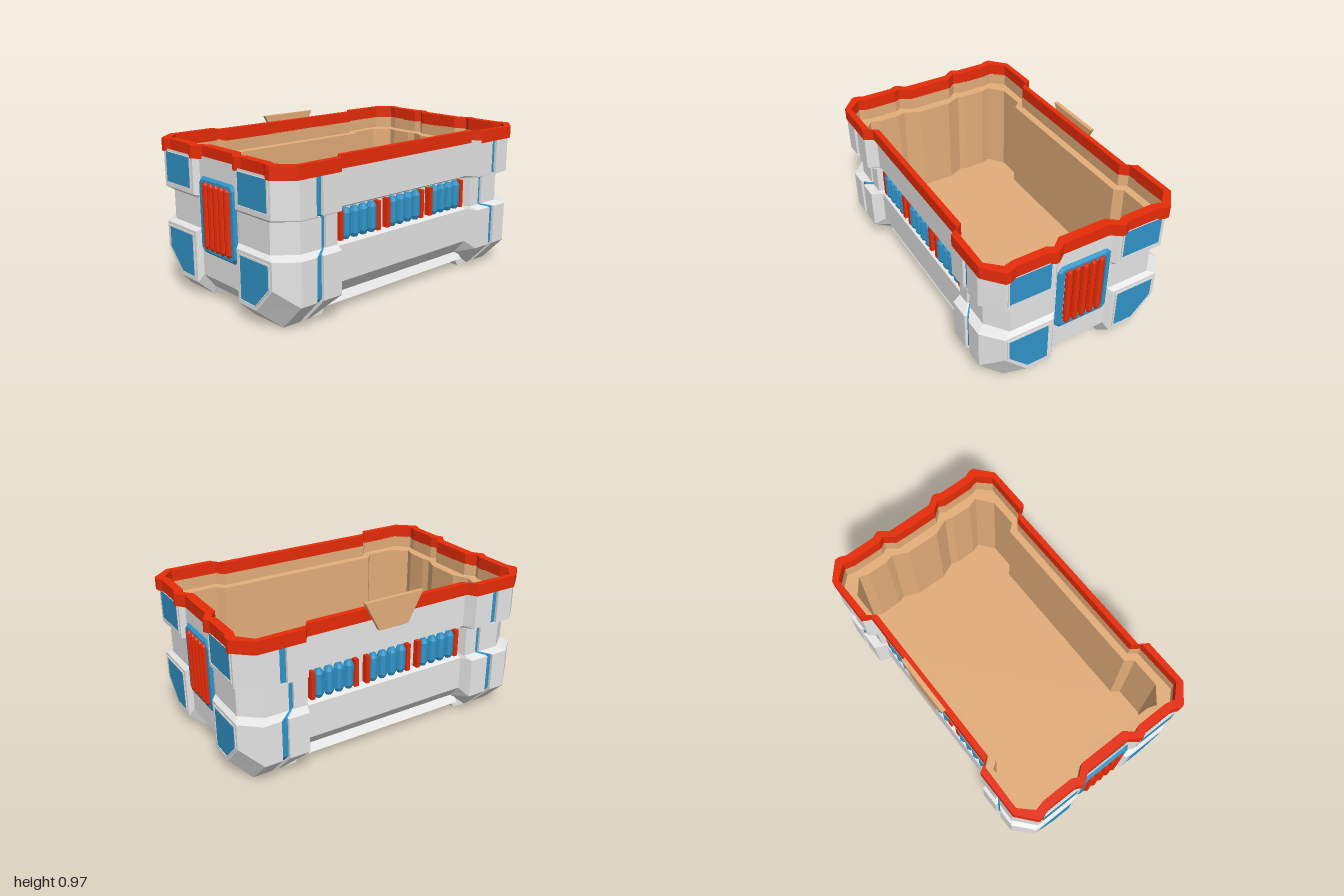
import * as THREE from 'three';
import { ConvexGeometry } from 'three/addons/geometries/ConvexGeometry.js';

const mat = (name, color) => {
  const m = new THREE.MeshStandardMaterial({ color, flatShading: true });
  m.name = name;
  return m;
};

// Mirror one quarter outline of [x, y, z] points into a full ring: front, right, back, left
function fullRing(q) {
  const r = [...q].reverse();
  return [
    ...q,
    ...r.map(([x, y, z]) => [x, y, -z]),
    ...q.map(([x, y, z]) => [-x, y, -z]),
    ...r.map(([x, y, z]) => [-x, y, z]),
  ];
}
const atHeight = (y, outline) => outline.map(([x, z]) => [x, y, z]);

// Skin a stack of rings (bottom-to-top faces outward); keep picks the columns to build
function loft(quarters, keep = () => true) {
  const rings = quarters.map(fullRing), n = quarters[0].length, pos = [];
  for (let k = 0; k < rings.length - 1; k++) {
    const a = rings[k], b = rings[k + 1];
    for (let i = 0; i < a.length; i++) {
      if (!keep(i)) continue;
      const j = (i + 1) % a.length;
      // mirrored quarters use the mirrored diagonal
      if (Math.floor(i / n) % 2) pos.push(...a[i], ...a[j], ...b[i], ...a[j], ...b[j], ...b[i]);
      else pos.push(...a[i], ...a[j], ...b[j], ...a[i], ...b[j], ...b[i]);
    }
  }
  const g = new THREE.BufferGeometry();
  g.setAttribute('position', new THREE.Float32BufferAttribute(pos, 3));
  g.computeVertexNormals();
  return g;
}

// Cut a groove around x into the front edge of a ring, between its second and third points
function grooved(ring, x, w, dy, dz) {
  const [, y, z] = ring[1], l = x - w / 2, r = x + w / 2;
  return [...ring.slice(0, 2), [l, y, z], [l, y + dy, z - dz], [r, y + dy, z - dz], [r, y, z], ...ring.slice(2)];
}

const shapeOf = (pts) => new THREE.Shape(pts.map(([x, y]) => new THREE.Vector2(x, y)));
const planShape = (outline) => shapeOf(fullRing(atHeight(0, outline)).map(([x, , z]) => [x, -z]));

// Upright bar with tapered ends
const bar = (r, h) => new THREE.LatheGeometry(
  [[0, -h], [r * 0.6, -h], [r, -h + r * 0.8], [r, h - r * 0.8], [r * 0.6, h], [0, h]]
    .map(([x, y]) => new THREE.Vector2(x, y)), 8);

const octagon = (w, y0, y1, c) => [
  [-w + c, y0], [w - c, y0], [w, y0 + c], [w, y1 - c],
  [w - c, y1], [-w + c, y1], [-w, y1 - c], [-w, y0 + c],
];

export function createModel() {
  const grey = mat('light grey shell', 0xe5e5e5);
  const red = mat('red trim', 0xe92c08);
  const blue = mat('blue accent', 0x3094c8);
  const tan = mat('tan liner', 0xe3ad79);
  const model = new THREE.Group();
  const add = (parent, name, geo, material, x = 0, y = 0, z = 0) => {
    const m = new THREE.Mesh(geo, material);
    m.name = name;
    m.position.set(x, y, z);
    parent.add(m);
    return m;
  };

  // Body sits a hair off centre under the rim
  const body = new THREE.Group();
  body.name = 'body';
  body.position.x = -0.006;
  model.add(body);

  // Shell: bulging corner blocks with a recessed waist, and grooves with a blue floor
  const block = [[0.555, 0.55], [0.587, 0.622], [0.873, 0.622], [0.986, 0.522], [0.986, 0.208], [0.955, 0.182]];
  const waist = [[0.55, 0.505], [0.57, 0.57], [0.832, 0.57], [0.957, 0.473], [0.957, 0.2], [0.955, 0.182]];
  const footRing = [[0.57, 0.1, 0.46], [0.69, 0, 0.467], [0.878, 0, 0.467], [0.878, 0, 0.467], [0.878, 0, 0.208], [0.88, 0.055, 0.19]];
  const slopeRing = [[0.555, 0.2, 0.55], [0.587, 0.16, 0.622], [0.873, 0.16, 0.622], [0.986, 0.1, 0.375], [0.986, 0.1, 0.208], [0.955, 0.15, 0.182]];
  const grooveX = 0.739, grooveW = 0.045;
  const blockRing = (y) => grooved(atHeight(y, block), grooveX, grooveW, 0, 0.018);
  const waistRing = (y) => grooved(atHeight(y, waist), 0.671, 0.032, 0, 0.015);
  const rings = [
    grooved(footRing, grooveX, grooveW, 0.014, 0.012),
    grooved(slopeRing, grooveX, grooveW, 0.008, 0.018),
    blockRing(0.255), blockRing(0.415), waistRing(0.435),
    waistRing(0.615), blockRing(0.637), blockRing(0.87),
  ];
  const isGrooveFloor = (i) => i % 20 === 3 || i % 20 === 15;
  add(body, 'shell', loft(rings, (i) => !isGrooveFloor(i)), grey);
  add(body, 'cornerStripes', loft(rings, isGrooveFloor), blue);

  // Base plate with a lip that flares out below the long sides
  const lip = new THREE.ExtrudeGeometry(
    shapeOf([[-0.46, 0.1], [-0.495, 0.055], [0.495, 0.055], [0.46, 0.1]]),
    { depth: 1.2, bevelEnabled: false });
  lip.rotateY(Math.PI / 2).translate(-0.6, 0, 0);
  add(body, 'basePlate', lip, grey);
  add(body, 'baseCore', new THREE.BoxGeometry(1.75, 0.05, 0.9), grey, 0, 0.078, 0);

  // Feet, each in two halves beside a blue groove
  for (const sx of [1, -1]) for (const sz of [1, -1]) {
    for (const [x0, x1, top] of [[0.6, 0.7165, 0.56], [0.7615, 0.878, 0.7615]]) {
      const pts = [
        [x0, 0, 0.466], [x1, 0, 0.466], [x1, 0, 0.208], [x0, 0, 0.208],
        [top, 0.07, 0.466], [x1, 0.07, 0.466], [x1, 0.07, 0.185], [top, 0.07, 0.185],
      ].map(([x, y, z]) => new THREE.Vector3(sx * x, y, sz * z));
      add(body, 'foot', new ConvexGeometry(pts), grey);
    }
    add(body, 'footStripe', new THREE.BoxGeometry(grooveW, 0.009, 0.25), blue, sx * grooveX, 0.019, sz * 0.332);
    add(body, 'footGrooveBed', new THREE.BoxGeometry(grooveW, 0.04, 0.25), grey, sx * grooveX, 0.0435, sz * 0.332);
  }

  // Red rim
  const rimOuter = [[0.56, 0.57], [0.595, 0.625], [0.89, 0.625], [1, 0.53], [1, 0.5], [0.982, 0.46],
    [0.982, 0.26], [1, 0.225], [1, 0.208], [0.957, 0.15]];
  const rimInner = [[0.54, 0.535], [0.575, 0.585], [0.87, 0.59], [0.945, 0.51], [0.93, 0.45],
    [0.93, 0.25], [0.95, 0.21], [0.9, 0.15]];
  const rimShape = planShape(rimOuter);
  rimShape.holes.push(planShape(rimInner));
  const rim = new THREE.ExtrudeGeometry(rimShape, { depth: 0.077, bevelEnabled: false });
  add(model, 'rim', rim.rotateX(-Math.PI / 2), red, 0, 0.852, 0);

  // Tan liner with a flat ledge below the rim, and its floor
  const well = [[0.56, 0.49], [0.6, 0.54], [0.79, 0.54], [0.89, 0.46], [0.87, 0.4],
    [0.87, 0.26], [0.885, 0.21], [0.84, 0.11]];
  add(model, 'liner', loft([
    atHeight(0.857, rimInner), atHeight(0.777, rimInner), atHeight(0.775, well), atHeight(0.15, well),
  ]), tan);
  add(model, 'linerFloor', new THREE.ShapeGeometry(planShape(well)).rotateX(-Math.PI / 2), tan, 0, 0.15, 0);

  // Tab hanging over the back of the rim
  const tab = new THREE.ExtrudeGeometry(
    shapeOf([[-0.2, 0.97], [-0.1, 0.785], [0.1, 0.785], [0.2, 0.97]]),
    { depth: 0.026, bevelEnabled: false });
  add(model, 'backTab', tab, tan, 0, 0, -0.593);

  // Front and back: three grilles in the waist
  for (const turn of [0, Math.PI]) {
    const face = new THREE.Group();
    face.name = turn ? 'backGrilles' : 'frontGrilles';
    face.rotation.y = turn;
    body.add(face);
    for (const cx of [-0.37, 0, 0.37]) {
      for (const s of [-1, 1])
        add(face, 'grilleEnd', new THREE.BoxGeometry(0.026, 0.176, 0.045), red, cx + s * 0.146, 0.525, 0.522);
      for (let i = 0; i < 4; i++)
        add(face, 'grilleBar', bar(0.031, 0.089), blue, cx + (i - 1.5) * 0.067, 0.525, 0.523);
    }
  }

  // Ends: framed vent with bars, and four framed windows
  for (const turn of [0, Math.PI]) {
    const end = new THREE.Group();
    end.name = turn ? 'rightEnd' : 'leftEnd';
    end.rotation.y = turn;
    body.add(end);
    const plate = (name, shape, material, x, depth, bevel = 0) => add(end, name,
      new THREE.ExtrudeGeometry(shape, {
        depth, bevelEnabled: bevel > 0, bevelSize: bevel, bevelThickness: bevel, bevelOffset: -bevel, bevelSegments: 1,
      }).rotateY(Math.PI / 2), material, x);

    // flat vent frame on a bevelled skirt
    const frame = shapeOf(octagon(0.162, 0.314, 0.739, 0.025));
    frame.holes.push(shapeOf(octagon(0.139, 0.33, 0.728, 0.015)));
    plate('ventFrame', frame, blue, 0.945, 0.029);
    const skirt = shapeOf(octagon(0.178, 0.298, 0.755, 0.03));
    skirt.holes.push(shapeOf(octagon(0.14, 0.331, 0.727, 0.015)));
    plate('ventSkirt', skirt, blue, 0.948, 0.01, 0.015);
    for (let i = -2; i <= 2; i++)
      add(end, 'ventBar', bar(0.022, 0.2), red, 0.968, 0.53, i * 0.053);

    for (const s of [-1, 1]) {
      const upper = [[0.228, 0.66], [0.507, 0.66], [0.507, 0.856], [0.228, 0.856]];
      const lower = [[0.228, 0.12], [0.367, 0.12], [0.505, 0.252], [0.505, 0.397], [0.228, 0.397]];
      const panes = [
        [upper, [[0.238, 0.67], [0.497, 0.67], [0.497, 0.853], [0.238, 0.853]]],
        [lower, [[0.238, 0.13], [0.371, 0.13], [0.495, 0.257], [0.495, 0.387], [0.238, 0.387]]],
      ];
      const flip = (p) => shapeOf(p.map(([u, y]) => [s * u, y]));
      for (const [outer, inner] of panes) {
        const border = flip(outer);
        border.holes.push(flip(inner));
        plate('windowFrame', border, grey, 0.982, 0.0095);
        plate('window', flip(inner), blue, 0.981, 0.007);
      }
    }
  }
  return model;
}
